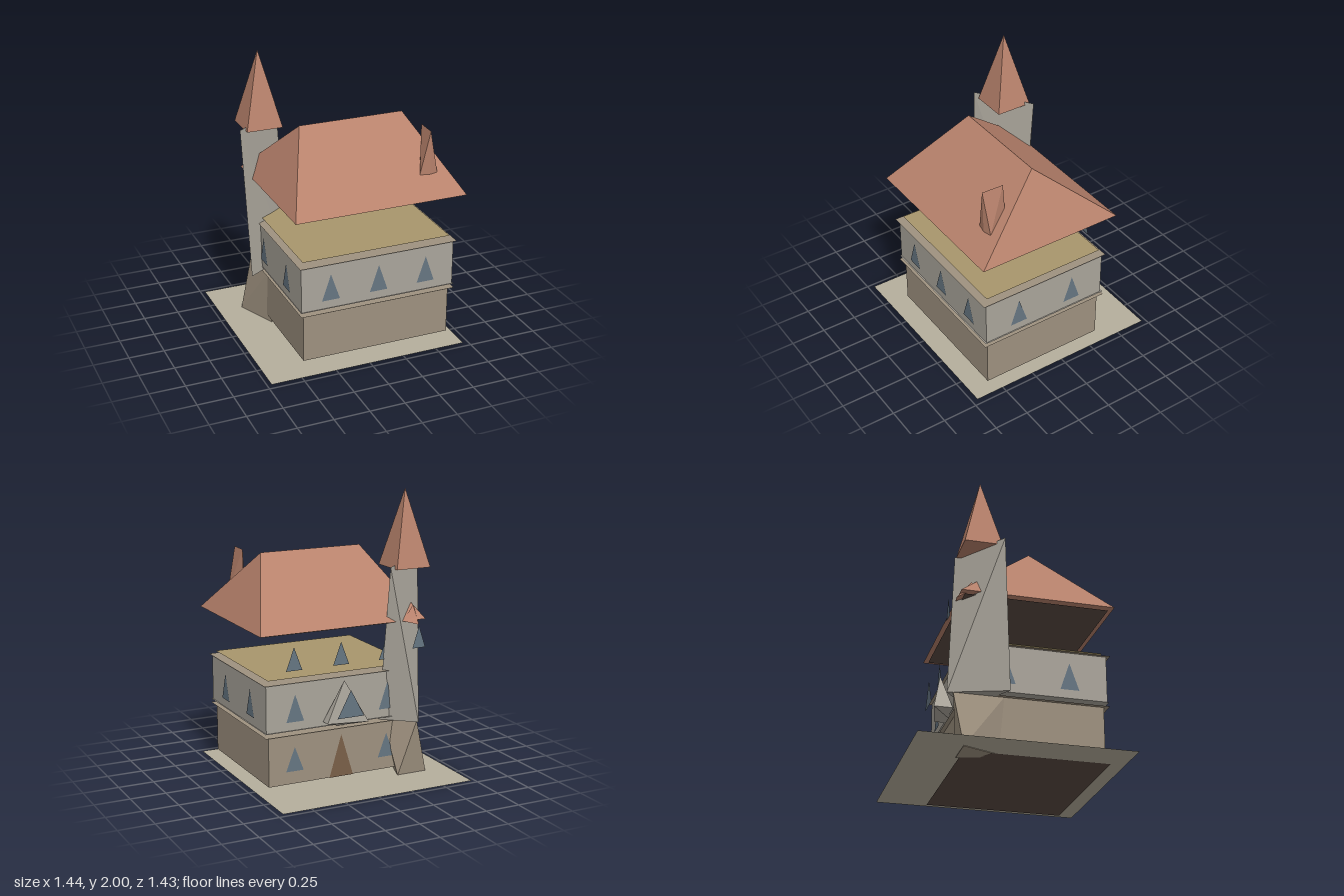
import * as THREE from 'three';
import { ConvexGeometry } from 'three/addons/geometries/ConvexGeometry.js';

const paint = (color) => new THREE.MeshStandardMaterial({ color, flatShading: true, side: THREE.DoubleSide });
const ground = paint(0xb5ae9c);
const stone = paint(0x9e917f);
const plaster = paint(0xaaa59b);
const tile = paint(0xb8826c);
const floorTan = paint(0xa8966c);
const glass = paint(0x667682);
const wood = paint(0x7a5f48);
const dark = paint(0x5a4a42);

export function createModel() {
  const model = new THREE.Group();

  const add = (name, geometry, material) => {
    const mesh = new THREE.Mesh(geometry, material);
    mesh.name = name;
    model.add(mesh);
    return mesh;
  };
  // Solid spanned by a few corner points
  const hull = (name, points, material) =>
    add(name, new ConvexGeometry(points.map((p) => new THREE.Vector3(...p))), material);
  const block = (name, x0, x1, y0, y1, z0, z1, material) =>
    add(name, new THREE.BoxGeometry(x1 - x0, y1 - y0, z1 - z0), material)
      .position.set((x0 + x1) / 2, (y0 + y1) / 2, (z0 + z1) / 2);
  // Thin horizontal sheet
  const sheet = (name, x0, x1, y, z0, z1, material) => {
    const geometry = new THREE.PlaneGeometry(x1 - x0, z1 - z0).rotateX(-Math.PI / 2);
    add(name, geometry, material).position.set((x0 + x1) / 2, y, (z0 + z1) / 2);
  };
  // Pointed opening: an upright triangle, turned to face its wall
  const pointed = (name, x, y, z, turn, width, height, material) => {
    const shape = new THREE.Shape();
    shape.moveTo(-width / 2, 0);
    shape.lineTo(width / 2, 0);
    shape.lineTo(0, height);
    const mesh = add(name, new THREE.ShapeGeometry(shape), material);
    mesh.position.set(x, y, z);
    mesh.rotation.y = turn;
  };

  // Ground and foundation
  sheet('ground', -0.72, 0.71, 0.004, -0.72, 0.71, ground);
  sheet('foundation', -0.46, 0.665, 0, -0.37, 0.605, dark);

  // Storeys with their ledges
  block('lowerStorey', -0.44, 0.64, 0.05, 0.4, -0.34, 0.58, stone);
  sheet('lowerLedge', -0.465, 0.67, 0.402, -0.37, 0.615, stone);
  sheet('lowerLedge', -0.465, 0.67, 0.43, -0.365, 0.61, plaster);
  block('upperStorey', -0.46, 0.66, 0.43, 0.758, -0.35, 0.6, plaster);
  sheet('upperLedge', -0.475, 0.675, 0.762, -0.37, 0.625, stone);
  sheet('atticFloor', -0.44, 0.64, 0.79, -0.34, 0.58, floorTan);

  // Hipped roof and soffit
  const roof = [[-0.275, 1.565, 0.12], [0.48, 1.565, 0.12]];
  for (const x of [-0.515, 0.72]) for (const z of [-0.41, 0.655]) roof.push([x, 1.11, z]);
  hull('roof', roof, tile);
  sheet('soffit', -0.48, 0.68, 1.1, -0.38, 0.62, dark);

  // Chimney
  hull('chimney', [[0.505, 1.55, 0.52], [0.51, 1.55, 0.365], [0.44, 1.24, 0.5],
    [0.57, 1.24, 0.5], [0.51, 1.24, 0.515], [0.515, 1.3, 0.35]], tile);

  // Tower: splayed foot, wedge shaft, square spire
  hull('towerFoot', [[-0.545, 0, -0.39], [-0.32, 0, -0.39], [-0.42, 0, -0.09],
    [-0.44, 0.4, -0.44], [-0.44, 0.4, -0.1], [-0.25, 0.4, -0.3]], stone);
  hull('towerShaft', [[-0.243, 1.49, -0.4], [-0.605, 1.49, -0.135],
    [-0.43, 0.4, -0.48], [-0.56, 0.4, -0.09], [-0.213, 0.4, -0.3]], plaster);
  const spire = [[-0.422, 2, -0.268]];
  for (const x of [-0.552, -0.293]) for (const z of [-0.4, -0.14]) spire.push([x, 1.465, z]);
  hull('spire', spire, tile);
  hull('towerCanopy', [[-0.34, 1.11, -0.41], [-0.45, 1.08, -0.43],
    [-0.5, 1.14, -0.31], [-0.46, 1.2, -0.33]], tile);
  pointed('towerWindow', -0.425, 0.93, -0.478, Math.PI, 0.1, 0.155, glass);

  // Bay on the back wall
  hull('bay', [[0.11, 0.75, -0.41], [-0.04, 0.46, -0.48], [-0.04, 0.46, -0.35],
    [0.24, 0.46, -0.42], [0.24, 0.46, -0.35], [0.1, 0.4, -0.3]], plaster);
  pointed('bayWindow', 0.1, 0.51, -0.49, Math.PI, 0.2, 0.19, glass);

  // Windows of the upper storey
  for (const x of [-0.25, 0.1, 0.45]) {
    pointed('frontWindow', x, 0.49, 0.606, 0, 0.13, 0.19, glass);
    pointed('atticWindow', x, 0.84, -0.343, Math.PI, 0.12, 0.16, glass);
  }
  for (const z of [0.34, -0.095]) {
    pointed('leftWindow', 0.666, 0.49, z, Math.PI / 2, 0.13, 0.19, glass);
    pointed('rightWindow', -0.466, 0.49, z, -Math.PI / 2, 0.13, 0.19, glass);
  }

  // Back windows and door
  for (const x of [-0.25, 0.45]) {
    pointed('backWindow', x, 0.49, -0.356, Math.PI, 0.13, 0.19, glass);
    pointed('lowerBackWindow', x, 0.14, -0.346, Math.PI, 0.13, 0.17, glass);
  }
  pointed('backDoor', 0.1, 0.05, -0.347, Math.PI, 0.18, 0.3, wood);

  return model;
}
